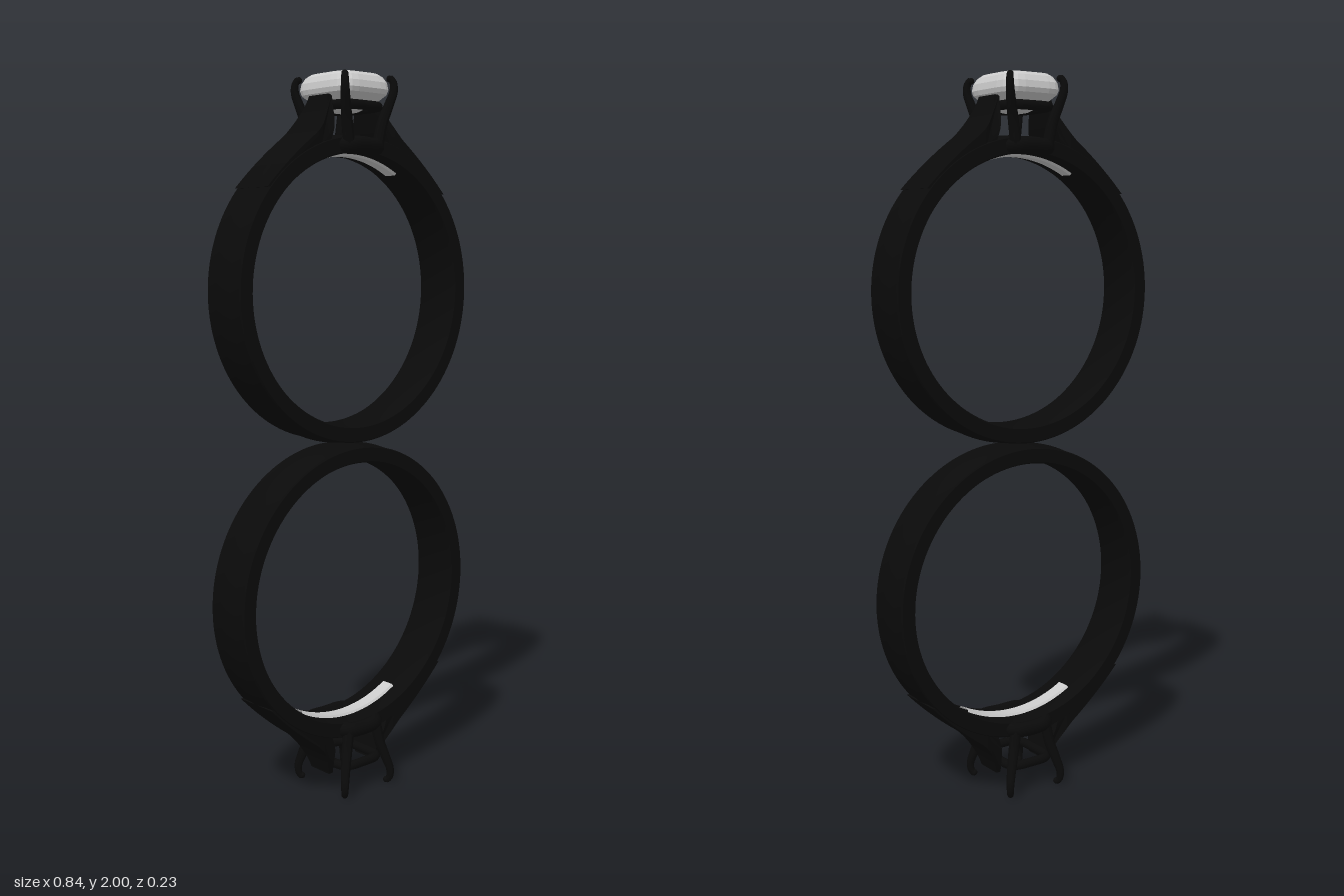
import * as THREE from 'three';
import { toCreasedNormals } from 'three/addons/utils/BufferGeometryUtils.js';

const metal = new THREE.MeshStandardMaterial({ color: 0x0a0a0a, side: THREE.DoubleSide });
const pale = new THREE.MeshStandardMaterial({ color: 0xcccccc });
const gemMaterial = new THREE.MeshStandardMaterial({ color: 0xcccccc, flatShading: true });
const CY = 1.42; // height of the ring centre

function add(parent, name, geometry, material) {
  const mesh = new THREE.Mesh(geometry, material);
  mesh.name = name;
  parent.add(mesh);
  return mesh;
}

// Lathe a closed (radius, z) profile around the ring's z axis
function hoop(profile, start = 0, sweep = Math.PI * 2, segments = 128) {
  const pts = profile.map(([r, z]) => new THREE.Vector2(r, z));
  pts.push(pts[0].clone());
  const g = new THREE.LatheGeometry(pts, segments, start, sweep);
  g.rotateX(Math.PI / 2).translate(0, CY, 0);
  return toCreasedNormals(g, 0.5);
}

// Tube whose radius follows a function of its length
function taperedTube(points, radiusAt, closed = false, segments = 24) {
  const curve = new THREE.CatmullRomCurve3(points, closed);
  const sides = 10;
  const g = new THREE.TubeGeometry(curve, segments, 1, sides, closed);
  const p = g.attributes.position, v = new THREE.Vector3(), c = new THREE.Vector3();
  for (let i = 0; i < p.count; i++) {
    const t = Math.floor(i / (sides + 1)) / segments;
    curve.getPointAt(t, c);
    v.fromBufferAttribute(p, i).sub(c).multiplyScalar(radiusAt(t)).add(c);
    p.setXYZ(i, v.x, v.y, v.z);
  }
  g.computeVertexNormals();
  return g;
}

// Rounded rectangle path, with height as a function of x
function loopPath(hx, hz, heightAt, n = 32) {
  return Array.from({ length: n }, (_, i) => {
    const [x, z] = cushion(i / n, hx, hz, 0.4);
    return new THREE.Vector3(x, heightAt(x), z);
  });
}

function cushion(t, hx, hz, power) {
  const a = t * Math.PI * 2, c = Math.cos(a), s = Math.sin(a);
  return [hx * Math.sign(c) * Math.abs(c) ** power, hz * Math.sign(s) * Math.abs(s) ** power];
}

// Shoulder sweeping from the band up to the setting
function shoulderGeometry() {
  const s = new THREE.Shape();
  s.moveTo(0.322, 1.69);
  s.quadraticCurveTo(0.25, 1.765, 0.16, 1.83);
  s.quadraticCurveTo(0.11, 1.87, 0.092, 1.94);
  s.lineTo(0.078, 1.94);
  s.quadraticCurveTo(0.085, 1.87, 0.105, 1.82);
  s.lineTo(0.14, 1.8);
  s.lineTo(0.215, 1.75);
  s.lineTo(0.29, 1.69);
  const g = new THREE.ExtrudeGeometry(s, { depth: 0.136, steps: 4, curveSegments: 12, bevelEnabled: false });
  g.translate(0, 0, -0.068);
  const p = g.attributes.position;
  for (let i = 0; i < p.count; i++) {
    const k = THREE.MathUtils.smoothstep(p.getY(i), 1.84, 1.95);
    p.setZ(i, p.getZ(i) * (1 - 0.45 * k));
  }
  g.deleteAttribute('normal');
  return toCreasedNormals(g, 0.6);
}

// Cushion-cut stone from stacked rounded sections
function gemGeometry() {
  const n = 24;
  const levels = [[0.3, 1.9], [0.7, 1.922], [0.96, 1.945], [1, 1.957], [0.97, 1.975], [0.87, 1.991], [0.74, 2]];
  const pos = [], idx = [];
  for (const [k, y] of levels)
    for (let i = 0; i < n; i++) {
      const [x, z] = cushion((i + 0.5) / n, 0.092 * k, 0.105 * k, 0.42);
      pos.push(x, y, z);
    }
  for (let l = 0; l < levels.length - 1; l++)
    for (let i = 0; i < n; i++) {
      const a = l * n + i, b = l * n + (i + 1) % n;
      idx.push(a, a + n, b, b, a + n, b + n);
    }
  const top = (levels.length - 1) * n, culet = levels.length * n;
  pos.push(0, 1.895, 0, 0, 2, 0);
  for (let i = 0; i < n; i++) {
    const j = (i + 1) % n;
    idx.push(culet, i, j, culet + 1, top + j, top + i);
  }
  const g = new THREE.BufferGeometry();
  g.setAttribute('position', new THREE.Float32BufferAttribute(pos, 3));
  g.setIndex(idx);
  g.computeVertexNormals();
  return g;
}

function makeRing(name) {
  const ring = new THREE.Group();
  ring.name = name;

  // Band: flat sides and a low ridge round the outside
  add(ring, 'band', hoop([
    [0.374, -0.07], [0.412, -0.07], [0.415, -0.066], [0.416, -0.03], [0.421, 0],
    [0.416, 0.03], [0.415, 0.066], [0.412, 0.07], [0.374, 0.07], [0.37, 0.062], [0.37, -0.062],
  ]), metal);

  // Pale inlay inside the band, opposite the setting
  add(ring, 'inlay', hoop(
    [[0.364, -0.018], [0.372, -0.024], [0.372, 0.024], [0.364, 0.018]], Math.PI - 0.5, 1, 32), pale)
    .material = new THREE.MeshStandardMaterial({ color: 0xcccccc, side: THREE.DoubleSide });

  for (const side of [1, -1]) {
    const shoulder = add(ring, side > 0 ? 'leftShoulder' : 'rightShoulder', shoulderGeometry(), metal);
    if (side < 0) shoulder.rotation.y = Math.PI;
  }

  // Setting: lower collar hugging the band, upper basket rail, four claws
  const setting = new THREE.Group();
  setting.name = 'setting';
  ring.add(setting);
  const arc = x => CY + Math.sqrt(0.392 ** 2 - x * x);
  add(setting, 'collar', taperedTube(loopPath(0.065, 0.08, arc), () => 0.021, true, 64), metal);
  add(setting, 'basketRail', taperedTube(loopPath(0.068, 0.082, () => 1.914), () => 0.013, true, 64), metal);
  for (const sx of [1, -1])
    for (const sz of [1, -1]) {
      const path = [[0.052, 1.81, 0.078], [0.064, 1.87, 0.083], [0.079, 1.92, 0.094],
        [0.088, 1.955, 0.102], [0.087, 1.98, 0.1], [0.081, 1.99, 0.093]]
        .map(([x, y, z]) => new THREE.Vector3(sx * x, y, sz * z));
      const claw = new THREE.Group();
      claw.name = 'claw';
      setting.add(claw);
      add(claw, 'clawStem', taperedTube(path, t => 0.016 - 0.007 * t * t), metal);
      const tip = add(claw, 'clawTip', new THREE.SphereGeometry(0.009, 12, 8), metal);
      tip.position.copy(path[5]).y -= 0.003;
    }
  return ring;
}

export function createModel() {
  const model = new THREE.Group();
  model.name = 'ringPair';

  const upper = makeRing('upperRing');
  add(upper, 'gem', gemGeometry(), gemMaterial);

  // Lower ring is upside down and has an empty setting
  const lower = makeRing('lowerRing');
  lower.rotation.z = Math.PI;
  lower.position.y = 1.996;

  model.add(upper, lower);
  return model;
}
